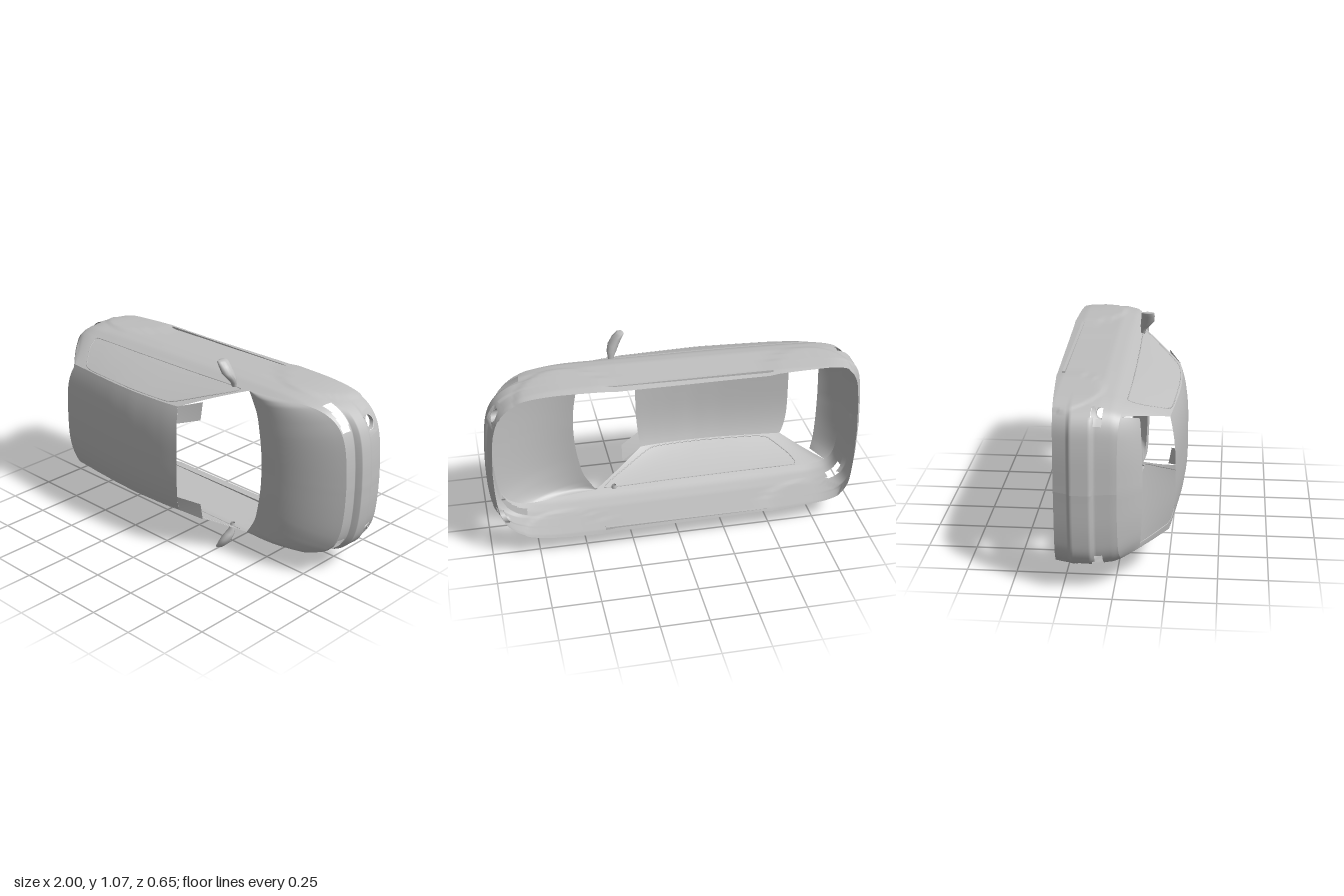
import * as THREE from 'three';

const CY = 0.535;                       // lateral centre line of the shell
const shellGrey = new THREE.MeshStandardMaterial({ color: 0xc0c0c0, side: THREE.DoubleSide });
shellGrey.name = 'shell grey';

const lerp = THREE.MathUtils.lerp;
// piecewise linear lookup in a short list of [input, output] pairs
function pick(list, v) {
  if (v <= list[0][0]) return list[0][1];
  for (let i = 1; i < list.length; i++) {
    const [a, p] = list[i - 1], [b, q] = list[i];
    if (v <= b) return lerp(p, q, (v - a) / (b - a));
  }
  return list[list.length - 1][1];
}
const spline = pts => new THREE.CatmullRomCurve3(pts.map(p => new THREE.Vector3(p[0], p[1], p[2] || 0)));

// half plan outline from nose to tail: [x, half width]
const outline = spline([[1, 0], [0.995, 0.13], [0.98, 0.24], [0.955, 0.31], [0.91, 0.365], [0.84, 0.405],
  [0.7, 0.43], [0.4, 0.437], [0, 0.434], [-0.4, 0.43], [-0.7, 0.422], [-0.86, 0.41], [-0.93, 0.385],
  [-0.97, 0.33], [-0.99, 0.22], [-1, 0]]);
const N = 90, FRONT = 42, REAR = 72;    // outline steps, pillar base, rear corner

// profiles by height
const noseX = [[-0.33, 0.965], [-0.28, 0.975], [-0.21, 0.985], [-0.2, 1], [-0.125, 0.995], [-0.115, 0.965], [-0.05, 0.955], [0.05, 0.9]];
const tailX = [[-0.33, 0.95], [-0.28, 0.96], [-0.21, 0.985], [-0.2, 1], [-0.1, 1], [-0.09, 0.985], [0, 0.975], [0.05, 0.965]];
const widthF = [[-0.33, 0.965], [-0.28, 0.985], [-0.07, 1], [0, 0.975], [0.05, 0.925], [0.1, 0.88]];
// profiles by length
const sillZ = [[-1, -0.28], [-0.9, -0.285], [-0.5, -0.315], [0.4, -0.33], [1, -0.305]];
const shoulderZ = [[-1, 0.02], [-0.93, 0.035], [-0.6, 0.055], [0.4, 0.052], [0.65, 0.03], [0.8, 0.0], [0.93, -0.04], [1, -0.055]];
const roofZ = [[-0.75, 0.285], [-0.5, 0.308], [-0.35, 0.32], [-0.2, 0.325], [-0.05, 0.32], [0.05, 0.312], [0.13, 0.3]];

// point of the lower shell at outline step i and height z, as [x, half width, z]
function body(i, z) {
  const p = outline.getPoint(Math.min(1, i / N));
  let x = p.x, w = p.y * pick(widthF, z);
  if (x > 0.5) x = 0.5 + (x - 0.5) * (pick(noseX, z) - 0.5) / 0.5;
  if (x < -0.5) x = -0.5 + (x + 0.5) * (pick(tailX, z) - 0.5) / 0.5;
  for (const cx of [-0.7, 0.6]) {       // wheel arch flares
    const d = Math.hypot(x - cx, z + 0.29);
    if (w > 0.38) w += 0.007 * (1 - THREE.MathUtils.smoothstep(d, 0.215, 0.235));
  }
  return [x, w, z];
}
const shoulder = i => body(i, pick(shoulderZ, outline.getPoint(Math.min(1, i / N)).x));

// grid surface from fn(i, j) -> [x, lateral, z]; skip(centre) leaves openings
function surface(i0, i1, nj, fn, skip) {
  const pos = [], idx = [], pts = [], row = nj + 1;
  for (let i = i0; i <= i1; i++) for (let j = 0; j <= nj; j++) {
    const p = fn(i, j);
    pts.push(p);
    pos.push(p[0], CY + p[1], p[2]);
  }
  for (let i = 0; i < i1 - i0; i++) for (let j = 0; j < nj; j++) {
    const a = i * row + j, b = a + row;
    const c = [0, 1, 2].map(k => (pts[a][k] + pts[b + 1][k]) / 2);
    if (skip && skip(c[0], Math.abs(c[1]), c[2])) continue;
    idx.push(a, b, a + 1, b, b + 1, a + 1);
  }
  const g = new THREE.BufferGeometry();
  g.setAttribute('position', new THREE.Float32BufferAttribute(pos, 3));
  g.setIndex(idx);
  g.computeVertexNormals();
  return g;
}

export function createModel() {
  const car = new THREE.Group();
  car.name = 'carShell';
  const add = (name, geo) => {
    const m = new THREE.Mesh(geo, shellGrey);
    m.name = name;
    car.add(m);
    return m;
  };

  // sides and bumpers as one belt, with openings for lamps and fog lamps
  const opening = (x, w, z) => {
    if (x > 0.8 && w > 0.295 && w < 0.408 && z > -0.105 && z < -0.052) return true;
    if (x < -0.885 && x > -0.96 && w > 0.33 && z > -0.095 && z < -0.045) return true;
    return x > 0.8 && Math.abs(w - 0.307) < 0.04 && Math.abs(z + 0.24) < 0.036;
  };
  add('sidesAndBumpers', surface(-N, N, 32, (i, j) => {
    const a = Math.abs(i), x = outline.getPoint(a / N).x;
    const z = j <= 20 ? lerp(pick(sillZ, x), -0.125, j / 20)
      : lerp(-0.115, pick(shoulderZ, x), (j - 21) / 11);
    const p = body(a, z);
    return [p[0], p[1] * Math.sign(i), z];
  }, opening));

  // bonnet, from the nose back to the windscreen edge
  const cowl = spline([[0.51, 0, 0.07], [0.505, 0.1, 0.07], [0.49, 0.2, 0.068], [0.465, 0.3, 0.064], [0.43, 0.36, 0.058], [0.4, 0.404, 0.052]]);
  add('bonnet', surface(-FRONT, FRONT, 14, (i, j) => {
    const a = Math.abs(i), f = j / 14, o = shoulder(a), c = cowl.getPoint(a / FRONT);
    const bulge = 4 * f * (1 - f) * 0.045 * Math.min(1, Math.hypot(o[0] - c.x, o[1] - c.y) / 0.44);
    return [lerp(c.x, o[0], f), lerp(c.y, o[1], f) * Math.sign(i), lerp(c.z, o[2], f) + bulge];
  }));

  // tailgate below the rear window
  const ledge = spline([[-0.84, 0.335, 0.12], [-0.855, 0.27, 0.126], [-0.866, 0.15, 0.132], [-0.87, 0, 0.135]]);
  const span = N - REAR;
  add('tailgate', surface(-span, span, 8, (i, j) => {
    const a = N - Math.abs(i), f = j / 8, o = shoulder(a), c = ledge.getPoint((a - REAR) / span);
    const bulge = 4 * f * (1 - f) * 0.01 * Math.abs(Math.cos(i / span * Math.PI / 2));
    return [lerp(o[0], c.x, f), lerp(o[1], c.y, f) * Math.sign(i), lerp(o[2], c.z, f) + bulge];
  }));

  // crowned roof panel
  const HALF = 0.295, DROP = 0.035;
  add('roof', surface(-14, 14, 24, (i, j) => {
    const t = Math.abs(i) / 14;
    const x = lerp(-0.745 + 0.045 * t ** 4, 0.13 - 0.02 * t * t, j / 24);
    return [x, HALF * i / 14, pick(roofZ, x) - DROP * t ** 3];
  }));

  // upper sides between shoulder and roof edge
  const rearX = shoulder(REAR)[0];
  const sidePoint = (i, f) => {
    const b = shoulder(i), x = lerp(0.11, -0.7, (0.4 - b[0]) / (0.4 - rearX));
    return [lerp(b[0], x, f), lerp(b[1], HALF, f) + 0.02 * f * (1 - f), lerp(b[2], pick(roofZ, x) - DROP, f)];
  };
  for (const s of [1, -1]) {
    const side = s > 0 ? 'left' : 'right';
    add(side + 'UpperSide', surface(FRONT, REAR, 8, (i, j) => {
      const p = sidePoint(i, j / 8);
      return [p[0], p[1] * s, p[2]];
    }));

    // raised outline of the side windows
    const frame = [[42.6, 0.03], [48, 0.03], [54, 0.03], [60, 0.03], [62.5, 0.06], [63.5, 0.4], [62.5, 0.9], [59, 0.96], [50, 0.96], [44, 0.94], [42.8, 0.5]];
    const path = new THREE.CatmullRomCurve3(frame.map(([i, f]) => {
      const p = sidePoint(i, f);
      return new THREE.Vector3(p[0], CY + s * p[1], p[2]);
    }), true, 'catmullrom', 0.2);
    add(side + 'WindowTrim', new THREE.TubeGeometry(path, 90, 0.003, 5, true));

    // corner tab at the top of the windscreen
    const tab = [[[0.12, 0.21, 0.29], [0.225, 0.24, 0.222]], [[0.11, 0.297, 0.268], [0.225, 0.335, 0.205]]];
    add(side + 'WindscreenTab', surface(0, 1, 1, (i, j) => {
      const p = tab[i][j];
      return [p[0], p[1] * s, p[2]];
    }));

    // sill moulding
    const sill = add(side + 'Sill', new THREE.BoxGeometry(0.88, 0.014, 0.014));
    sill.position.set(-0.04, CY + s * 0.427, -0.283);

    // door mirror lofted from ellipses: [lateral, x, z, x radius, z radius]
    const rings = [[0.385, 0.3, 0.052, 0.012, 0.01], [0.42, 0.297, 0.056, 0.018, 0.014], [0.445, 0.292, 0.066, 0.026, 0.025],
      [0.475, 0.28, 0.08, 0.029, 0.036], [0.51, 0.261, 0.084, 0.026, 0.036], [0.53, 0.245, 0.084, 0.021, 0.034], [0.535, 0.24, 0.084, 0.014, 0.026], [0.535, 0.24, 0.084, 0, 0]];
    add(side + 'Mirror', surface(0, rings.length - 1, 16, (i, j) => {
      const [y, x, z, rx, rz] = rings[i], a = j / 16 * Math.PI * 2;
      return [x + rx * Math.cos(a), s * y, z + rz * Math.sin(a)];
    }));

    // bumper patch with a round fog lamp hole, bent to the bumper curve
    const patch = new THREE.Shape();
    const [w0, w1, z0, z1] = [0.252, 0.362, -0.29, -0.196];
    for (let k = 0; k <= 8; k++) patch.lineTo(lerp(w0, w1, k / 8), z0);
    for (let k = 8; k >= 0; k--) patch.lineTo(lerp(w0, w1, k / 8), z1);
    patch.curves.shift();
    patch.holes.push(new THREE.Path().absarc(0.307, -0.24, 0.033, 0, Math.PI * 2, true));
    const bumperX = (w, z) => {
      let lo = 0, hi = 36;
      for (let k = 0; k < 20; k++) {
        const m = (lo + hi) / 2;
        if (body(m, z)[1] < w) lo = m; else hi = m;
      }
      return body(lo, z)[0];
    };
    const fog = new THREE.ShapeGeometry(patch, 20), q = fog.attributes.position;
    for (let k = 0; k < q.count; k++) {
      const w = q.getX(k), z = q.getY(k);
      q.setXYZ(k, bumperX(w, z) + 0.002, CY + s * w, z);
    }
    fog.computeVertexNormals();
    add(side + 'FogLampSurround', fog);

    // short sleeve behind the fog lamp hole
    add(side + 'FogLampSleeve', surface(0, 24, 1, (i, j) => {
      const a = i / 24 * Math.PI * 2, w = 0.307 + 0.033 * Math.cos(a), z = -0.24 + 0.033 * Math.sin(a);
      return [bumperX(w, z) - 0.025 * j, s * w, z];
    }));
  }
  return car;
}
